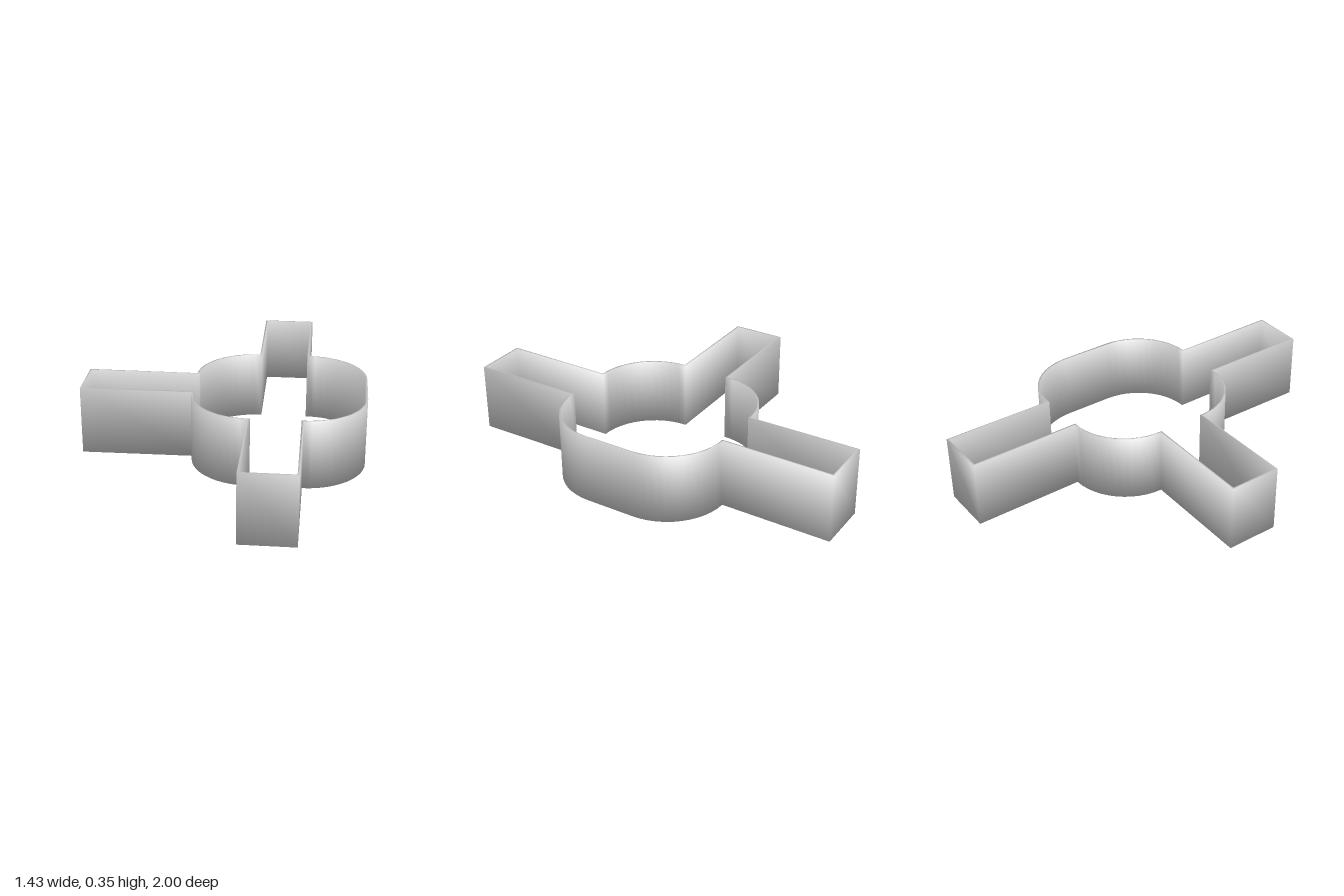
import * as THREE from 'three';
import { mergeVertices } from 'three/addons/utils/BufferGeometryUtils.js';

const HEIGHT = 0.35, WALL = 0.01;

// Closed outline of the cutter, moved inward by t
function outline(t) {
  const r = 0.305 - t, cz = 0.13, steps = 12;
  const over = Math.asin(t / r);                 // lets the inner arcs meet the arms
  const half = [];
  const arc = (cx, from, to) => {
    for (let i = 0; i <= steps; i++) {
      const a = from + (to - from) * i / steps;
      half.push([cx + r * Math.cos(a), cz + r * Math.sin(a)]);
    }
  };
  arc(0.412, 0, Math.PI / 2 + over);             // rounded body, left corner
  half.push([0.415 - t, 1 - t], [0.145 + t, 1 - t]); // side arm
  arc(0.149, Math.PI / 2 - over, Math.PI + over); // rounded body, right corner
  half.push([-0.718 + t, 0.134 - t]);            // long arm
  const mirrored = half.map(([x, z]) => [x, -z]).reverse();
  return [...half, ...mirrored].map(([x, z]) => new THREE.Vector2(x, z));
}

// Smooth normals over all edges, each face weighted by its corner angle
function smoothByAngle(source) {
  source.deleteAttribute('normal');
  source.deleteAttribute('uv');
  const geometry = mergeVertices(source);
  const { position } = geometry.attributes, index = geometry.index;
  const normals = Array.from({ length: position.count }, () => new THREE.Vector3());
  for (let f = 0; f < index.count; f += 3) {
    const ids = [0, 1, 2].map(k => index.getX(f + k));
    const p = ids.map(i => new THREE.Vector3().fromBufferAttribute(position, i));
    const n = new THREE.Triangle(...p).getNormal(new THREE.Vector3());
    ids.forEach((id, k) => {
      const a = p[(k + 1) % 3].clone().sub(p[k]);
      const b = p[(k + 2) % 3].clone().sub(p[k]);
      normals[id].addScaledVector(n, a.angleTo(b));
    });
  }
  const flat = normals.flatMap(n => n.normalize().toArray());
  geometry.setAttribute('normal', new THREE.Float32BufferAttribute(flat, 3));
  return geometry;
}

export function createModel() {
  const group = new THREE.Group();
  group.name = 'cutter';

  // Thin upright wall, open above and below
  const shape = new THREE.Shape(outline(0));
  shape.holes.push(new THREE.Path(outline(WALL)));
  const extruded = new THREE.ExtrudeGeometry(shape, { depth: HEIGHT, bevelEnabled: false });
  extruded.rotateX(-Math.PI / 2);

  const wall = new THREE.Mesh(
    smoothByAngle(extruded),
    new THREE.MeshStandardMaterial({ color: 0xcccccc })
  );
  wall.name = 'cutterWall';
  group.add(wall);
  return group;
}
